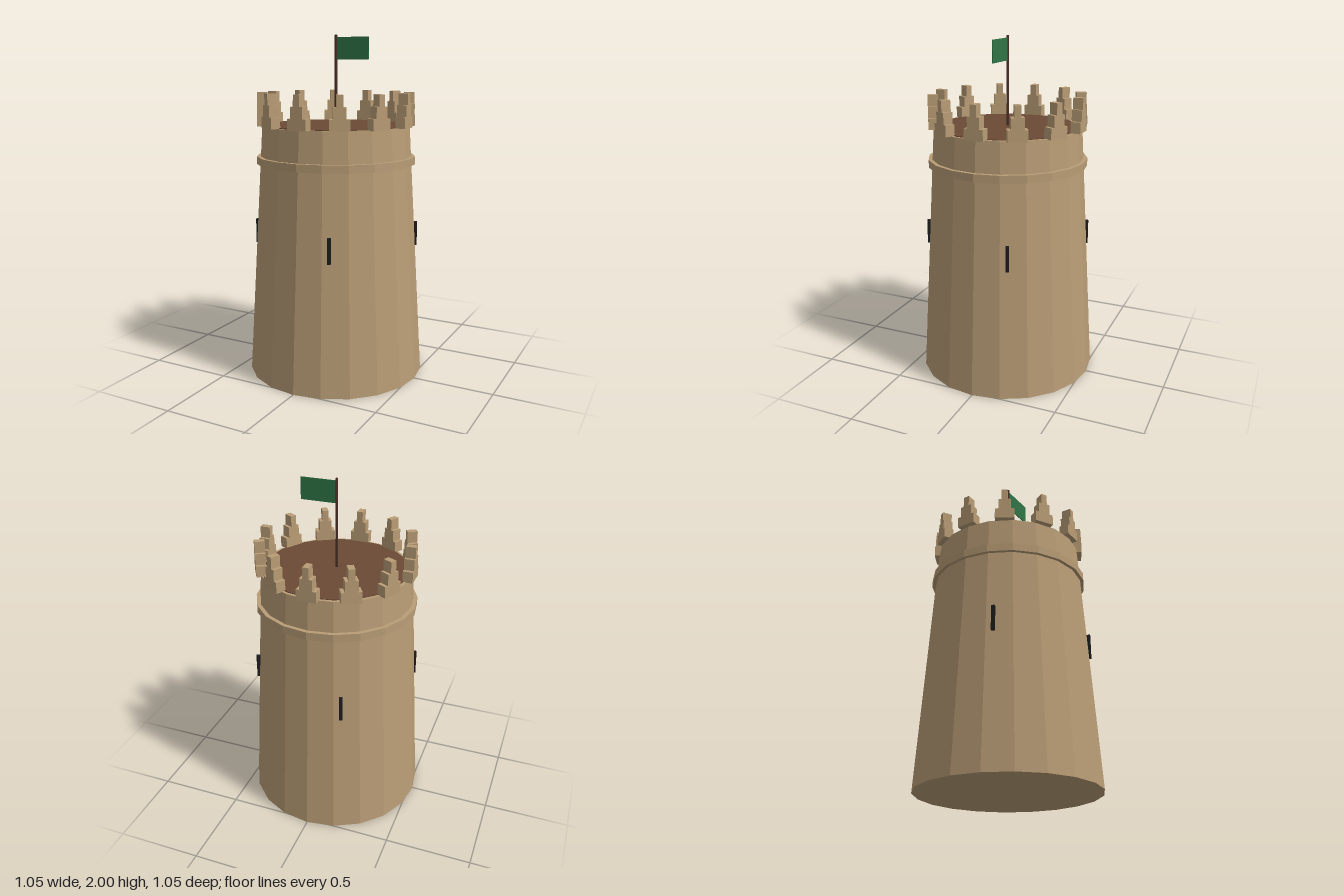
import * as THREE from 'three';

const SIDES = 20;

function material(name, color) {
  const m = new THREE.MeshStandardMaterial({ color, flatShading: true });
  m.name = name;
  return m;
}

export function createModel() {
  const stone = material('sandstone', 0xb99d76);
  const wood = material('roof boards', 0x6b4a34);
  const poleWood = material('dark wood', 0x4a3026);
  const dark = material('window shadow', 0x1c1c1e);
  const cloth = material('green cloth', 0x2f7547);

  const tower = new THREE.Group();
  tower.name = 'tower';

  const add = (parent, name, geometry, mat, x = 0, y = 0, z = 0) => {
    const mesh = new THREE.Mesh(geometry, mat);
    mesh.name = name;
    mesh.position.set(x, y, z);
    parent.add(mesh);
    return mesh;
  };

  // Tapered wall, raised band and roof floor
  add(tower, 'wall', new THREE.CylinderGeometry(0.433, 0.525, 1.483, SIDES), stone, 0, 0.7415, 0);
  add(tower, 'band', new THREE.CylinderGeometry(0.467, 0.467, 0.045, SIDES), stone, 0, 1.2825, 0);
  add(tower, 'roofFloor', new THREE.CylinderGeometry(0.415, 0.415, 0.006, SIDES), wood, 0, 1.484, 0);

  // Twelve stepped merlons, each of three stacked blocks
  const stepHeight = 0.0645;
  const steps = [0.112, 0.072, 0.036].map(w => new THREE.BoxGeometry(w, stepHeight, 0.058));
  for (let i = 0; i < 12; i++) {
    const merlon = new THREE.Group();
    merlon.name = 'merlon';
    merlon.rotation.y = (i * Math.PI) / 6;
    steps.forEach((geometry, k) =>
      add(merlon, 'merlonStep', geometry, stone, 0, 1.481 + (k + 0.5) * stepHeight, 0.43));
    tower.add(merlon);
  }

  // Four arrow slits around the wall
  const slit = new THREE.BoxGeometry(0.02, 0.145, 0.04);
  for (let i = 0; i < 4; i++) {
    const holder = new THREE.Group();
    holder.name = 'arrowSlit';
    holder.rotation.y = 0.4 + (i * Math.PI) / 2;
    add(holder, 'slit', slit, dark, 0, 0.838, 0.467);
    tower.add(holder);
  }

  // Flagpole and flag
  add(tower, 'flagpole', new THREE.CylinderGeometry(0.008, 0.008, 0.52, 8), poleWood, 0, 1.74, 0);
  add(tower, 'flag', new THREE.BoxGeometry(0.205, 0.126, 0.005), cloth, 0.107, 1.924, 0);

  return tower;
}
